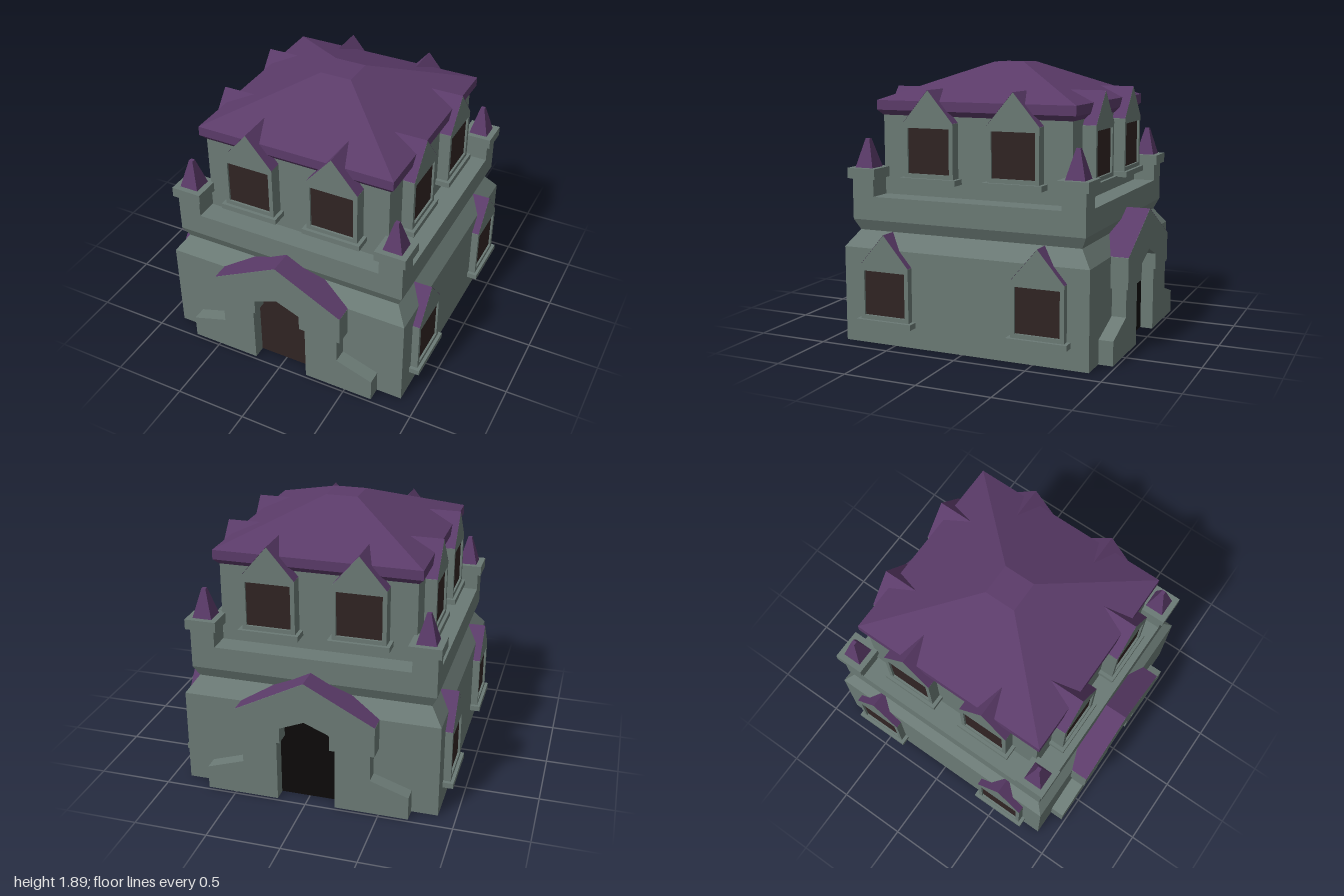
import * as THREE from 'three';

const mat = (name, color, side = THREE.FrontSide) => {
  const m = new THREE.MeshStandardMaterial({ color, side });
  m.name = name;
  return m;
};

export function createModel() {
  const stone = mat('grey stone', 0x6b7a75);
  const purple = mat('purple roof', 0x5b3b69, THREE.DoubleSide);
  const glass = mat('dark brown', 0x302423);
  const black = mat('black', 0x0c0a0a);

  const root = new THREE.Group();
  root.name = 'towerHouse';

  const add = (parent, name, geo, material, x = 0, y = 0, z = 0) => {
    const m = new THREE.Mesh(geo, material);
    m.name = name;
    m.position.set(x, y, z);
    parent.add(m);
    return m;
  };
  const box = (parent, name, material, x0, x1, y0, y1, z0, z1) =>
    add(parent, name, new THREE.BoxGeometry(x1 - x0, y1 - y0, z1 - z0), material,
      (x0 + x1) / 2, (y0 + y1) / 2, (z0 + z1) / 2);

  const meshFrom = quads => {
    const pos = [];
    for (const [a, b, c, d] of quads) pos.push(...a, ...b, ...c, ...a, ...c, ...d);
    const g = new THREE.BufferGeometry();
    g.setAttribute('position', new THREE.Float32BufferAttribute(pos, 3));
    g.computeVertexNormals();
    return g;
  };

  // Rectangular sections [halfX, halfZ, y] joined from bottom to top
  const loft = sections => {
    const rings = sections.map(([x, z, y]) => [[-x, y, z], [x, y, z], [x, y, -z], [-x, y, -z]]);
    const quads = [[...rings[0]].reverse(), rings[rings.length - 1]];
    for (let i = 0; i < rings.length - 1; i++)
      for (let k = 0; k < 4; k++) {
        const n = (k + 1) % 4;
        quads.push([rings[i][k], rings[i][n], rings[i + 1][n], rings[i + 1][k]]);
      }
    return meshFrom(quads);
  };

  const shapeOf = pts => new THREE.Shape(pts.map(p => new THREE.Vector2(...p)));
  const slab = (shape, z0, z1) =>
    new THREE.ExtrudeGeometry(shape, { depth: z1 - z0, bevelEnabled: false }).translate(0, 0, z0);

  // Two sloping faces lying on a gable
  const gableRoof = (w, eave, apex, z0, z1) => {
    const e = eave + 0.002, a = apex + 0.002;
    return meshFrom([
      [[0, a, z1], [w, e, z1], [w, e, z0], [0, a, z0]],
      [[0, a, z0], [-w, e, z0], [-w, e, z1], [0, a, z1]],
    ]);
  };

  // Main walls
  add(root, 'lowerWalls', loft([
    [0.88, 0.88, 0], [0.88, 0.88, 0.655], [0.8, 0.8, 0.765],
    [0.835, 0.835, 0.84], [0.835, 0.835, 1.0],
  ]), stone);
  add(root, 'upperWalls', loft([[0.665, 0.682, 0.99], [0.665, 0.682, 1.56]]), stone);
  add(root, 'mainRoof', loft([
    [0.667, 0.684, 1.54], [0.7, 0.715, 1.575], [0.7, 0.715, 1.64], [0.11, 0.11, 1.89],
  ]), purple);

  // Corner posts with caps and spires
  const spire = new THREE.CylinderGeometry(0.02, 0.094, 0.195, 4).toNonIndexed();
  spire.rotateY(Math.PI / 4);
  spire.computeVertexNormals();
  for (const sx of [-1, 1]) for (const sz of [-1, 1]) {
    const post = new THREE.Group();
    post.name = 'cornerPost';
    post.position.set(sx * 0.752, 0, sz * 0.755);
    root.add(post);
    box(post, 'postShaft', stone, -0.083, 0.083, 0.99, 1.12, -0.08, 0.08);
    box(post, 'postCap', stone, -0.108, 0.108, 1.12, 1.19, -0.105, 0.105);
    add(post, 'spire', spire, purple, 0, 1.2875, 0);
  }

  // Gabled window facing +z, turned about the house by angle
  const dormer = (name, angle, x, y, front, back) => {
    const turn = new THREE.Group();
    turn.name = name;
    turn.rotation.y = angle;
    root.add(turn);
    const g = new THREE.Group();
    g.name = 'gabledWindow';
    g.position.set(x, y, 0);
    turn.add(g);
    const w = 0.182, eave = 0.37, apex = 0.585;
    const s = shapeOf([[-w, 0], [w, 0], [w, eave], [0, apex], [-w, eave]]);
    s.holes.push(new THREE.Path([[-0.153, 0.03], [-0.153, 0.335], [0.153, 0.335], [0.153, 0.03]]
      .map(p => new THREE.Vector2(...p))));
    add(g, 'windowFrame', slab(s, back, front), stone);
    add(g, 'windowRoof', gableRoof(w, eave, apex, back, front), purple);
    box(g, 'windowPane', glass, -0.153, 0.153, 0.03, 0.335, front - 0.024, front - 0.015);
    box(g, 'windowSill', stone, -0.207, 0.207, -0.036, 0.002, front - 0.12, front + 0.022);
  };
  for (let k = 0; k < 4; k++) {
    const side = k % 2 === 1;
    for (const s of [-1, 1]) {
      dormer('upperWindow', k * Math.PI / 2, s * 0.305, 1.13, side ? 0.745 : 0.775, 0.52);
      if (side) dormer('lowerWindow', k * Math.PI / 2, s * 0.55, 0.178, 0.93, 0.8);
    }
  }

  // Porches at front and back
  for (const [angle, name, doorMat] of [[0, 'frontPorch', glass], [Math.PI, 'backPorch', black]]) {
    const porch = new THREE.Group();
    porch.name = name;
    porch.rotation.y = angle;
    root.add(porch);
    for (const s of [-1, 1]) {
      const pts = [[0.2, 0], [0.7, 0], [0.7, 0.163], [0.44, 0.25], [0.44, 0.46], [0.2, 0.46]]
        .map(([x, y]) => [s * x, y]);
      add(porch, 'buttress', slab(shapeOf(pts), 0.82, 0.978), stone);
    }
    add(porch, 'porchGable', slab(shapeOf([
      [0.17, 0.445], [0.475, 0.445], [0.475, 0.655], [0, 0.903], [-0.475, 0.655], [-0.475, 0.445],
      [-0.17, 0.445], [-0.17, 0.555], [0, 0.625], [0.17, 0.555],
    ]), 0.8, 1.0), stone);
    add(porch, 'porchRoof', gableRoof(0.475, 0.655, 0.903, 0.8, 1.0), purple);
    add(porch, 'door', slab(shapeOf([
      [-0.2, 0.003], [0.2, 0.003], [0.2, 0.46], [0.18, 0.56], [0, 0.64], [-0.18, 0.56], [-0.2, 0.46],
    ]), 0.881, 0.89), doorMat);
  }
  return root;
}
